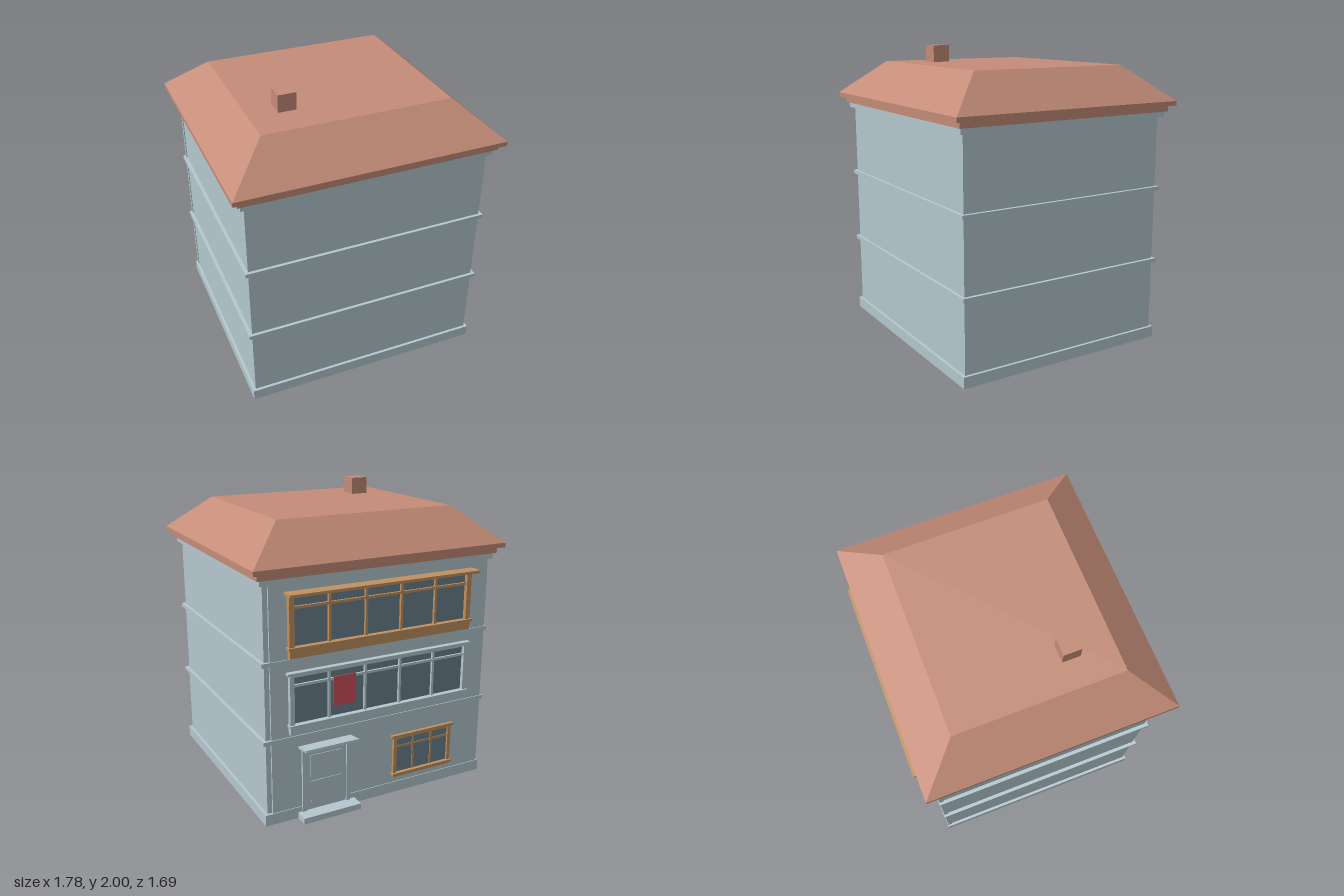
import * as THREE from 'three';

const mat = (name, color) => {
  const m = new THREE.MeshStandardMaterial({ color });
  m.name = name;
  return m;
};

export function createModel() {
  const wall = mat('pale blue plaster', 0xb4c8ce);
  const tile = mat('terracotta', 0xc48c78);
  const wood = mat('brown wood', 0xc0915f);
  const glass = mat('blue grey glass', 0x6b8190);
  const red = mat('red poster', 0xd04f5c);

  const model = new THREE.Group();
  model.name = 'house';
  const CZ = 0.0225; // middle of the main body in z
  const BACK = -0.729; // surface of the decorated back facade

  // box given by its limits on each axis
  const box = (parent, name, m, x0, x1, y0, y1, z0, z1) => {
    const mesh = new THREE.Mesh(new THREE.BoxGeometry(x1 - x0, y1 - y0, z1 - z0), m);
    mesh.position.set((x0 + x1) / 2, (y0 + y1) / 2, (z0 + z1) / 2);
    mesh.name = name;
    parent.add(mesh);
    return mesh;
  };
  // horizontal layer around the whole house
  const layer = (name, m, hx, hz, y0, y1) =>
    box(model, name, m, -hx, hx, y0, y1, CZ - hz, CZ + hz);

  // walls, plinth, string courses and eaves
  layer('walls', wall, 0.804, 0.738, 0.005, 1.56);
  box(model, 'backFacade', wall, -0.81, 0.772, 0.01, 1.555, BACK, -0.7);
  layer('plinth', wall, 0.823, 0.757, 0, 0.075);
  layer('lowerBand', wall, 0.827, 0.758, 0.548, 0.574);
  layer('upperBand', wall, 0.827, 0.758, 1.053, 1.079);
  layer('cornice', wall, 0.833, 0.768, 1.548, 1.585);
  layer('lowerEaves', tile, 0.853, 0.785, 1.585, 1.625);
  layer('upperEaves', tile, 0.89, 0.8225, 1.625, 1.655);

  // hipped roof with a flat top: a box tapered upwards
  const roofGeo = new THREE.BoxGeometry(2, 0.23, 2);
  const p = roofGeo.attributes.position;
  for (let i = 0; i < p.count; i++) {
    const top = p.getY(i) > 0;
    p.setX(i, p.getX(i) * (top ? 0.625 : 0.89));
    p.setZ(i, p.getZ(i) * (top ? 0.557 : 0.8225));
  }
  roofGeo.computeVertexNormals();
  const roof = new THREE.Mesh(roofGeo, tile);
  roof.position.set(0, 1.77, CZ);
  roof.name = 'roof';
  model.add(roof);
  box(model, 'chimney', tile, -0.44, -0.32, 1.86, 2, 0.235, 0.355);

  // framed window on the back: glass, posts, mullions, transom, lintel, sill
  const makeWindow = (name, m, o) => {
    const g = new THREE.Group();
    g.name = name;
    model.add(g);
    const { x0, x1, y0, y1, panes, post, depth } = o;
    const out = BACK - depth;
    const bar = (n, a, b, c, d, z) => box(g, n, m, a, b, c, d, z, BACK + 0.005);
    box(g, 'glass', glass, x0 + 0.01, x1 - 0.01, y0 + 0.01, y1 - 0.005, BACK - 0.006, BACK + 0.002);
    bar('rightPost', x0, x0 + post, y0, y1, out);
    bar('leftPost', x1 - post, x1, y0, y1, out);
    const step = (x1 - x0 - post) / panes;
    for (let i = 1; i < panes; i++) {
      const x = x0 + post / 2 + i * step;
      bar('mullion', x - o.bar / 2, x + o.bar / 2, y0, y1, out + 0.008);
    }
    bar('transom', x0, x1, o.transom - o.bar / 2, o.transom + o.bar / 2, out + 0.01);
    bar('headRail', x0, x1, y1 - o.bar, y1, out + 0.006);
    bar('lintel', x0 - o.over, x1 + o.over, y1, y1 + o.lintel, BACK - o.shelf);
    bar('apron', x0, x1, y0, y0 + o.sill, out - 0.002);
    bar('sill', x0 - o.over / 2, x1 + o.over / 2, y0 + o.sill - 0.016, y0 + o.sill, out - 0.013);
    return g;
  };
  makeWindow('topWindow', wood, {
    x0: -0.66, x1: 0.655, y0: 1.09, y1: 1.48, panes: 5, post: 0.035, depth: 0.032,
    bar: 0.016, transom: 1.4, over: 0.02, lintel: 0.018, shelf: 0.094, sill: 0.07,
  });
  makeWindow('middleWindow', wall, {
    x0: -0.66, x1: 0.655, y0: 0.595, y1: 0.982, panes: 5, post: 0.03, depth: 0.03,
    bar: 0.016, transom: 0.91, over: 0.015, lintel: 0.016, shelf: 0.037, sill: 0.065,
  });
  makeWindow('lowerWindow', wood, {
    x0: -0.56, x1: -0.1, y0: 0.12, y1: 0.405, panes: 3, post: 0.025, depth: 0.019,
    bar: 0.014, transom: 0.335, over: 0.014, lintel: 0.018, shelf: 0.024, sill: 0.03,
  });
  box(model, 'poster', red, 0.205, 0.36, 0.735, 0.93, -0.766, -0.759);

  // entrance: leaf with two raised panels, frame, step and tilted canopy
  const door = new THREE.Group();
  door.name = 'entrance';
  model.add(door);
  box(door, 'doorLeaf', wall, 0.25, 0.55, 0.04, 0.46, BACK - 0.006, BACK);
  for (const [y0, y1] of [[0.09, 0.24], [0.27, 0.42]])
    box(door, 'doorPanel', wall, 0.29, 0.51, y0, y1, BACK - 0.011, BACK);
  for (const x of [0.23, 0.545])
    box(door, 'doorPost', wall, x, x + 0.025, 0.04, 0.48, BACK - 0.016, BACK);
  box(door, 'doorHead', wall, 0.23, 0.57, 0.455, 0.485, BACK - 0.016, BACK);
  box(door, 'doorStep', wall, 0.19, 0.6, 0, 0.04, -0.825, BACK);
  const canopy = box(door, 'canopy', wall, 0.22, 0.592, 0.49, 0.505, -0.844, -0.722);
  canopy.rotation.x = 0.16;

  return model;
}
